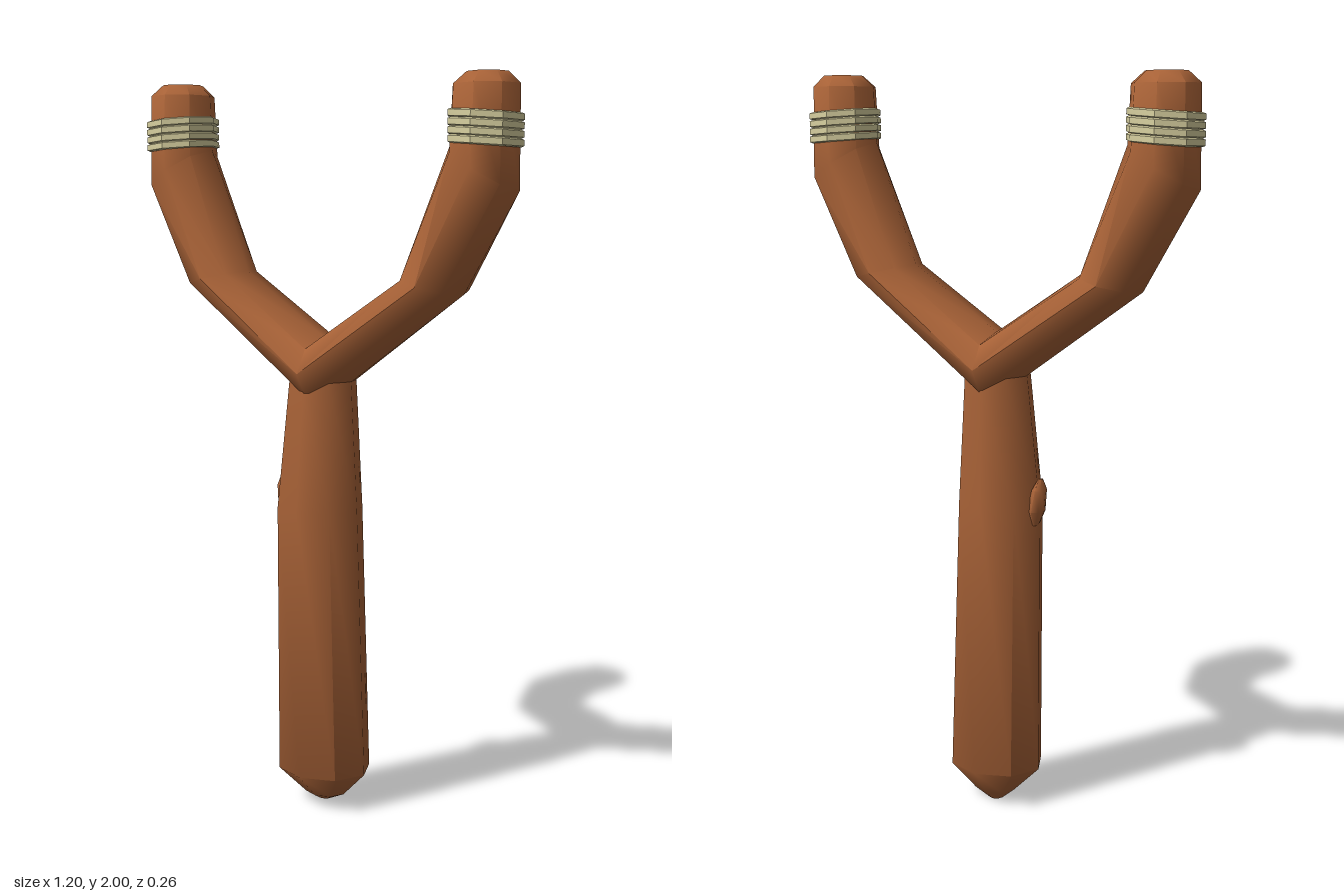
import * as THREE from 'three';
import { toCreasedNormals } from 'three/addons/utils/BufferGeometryUtils.js';

const V = (x, y, z = 0) => new THREE.Vector3(x, y, z);
const SIDES = 8;

// Skin through elliptical rings { c: centre, a, b: half-axis vectors }, capped at both ends
function loft(rings, crease = 1) {
  const pos = [], idx = [];
  const add = p => pos.push(p.x, p.y, p.z);
  for (const { c, a, b } of rings) {
    for (let j = 0; j < SIDES; j++) {
      const t = (j / SIDES) * Math.PI * 2;
      add(c.clone().addScaledVector(a, Math.cos(t)).addScaledVector(b, Math.sin(t)));
    }
  }
  const last = (rings.length - 1) * SIDES, first = rings.length * SIDES;
  add(rings[0].c);
  add(rings[rings.length - 1].c);
  for (let j = 0; j < SIDES; j++) {
    const k = (j + 1) % SIDES;
    for (let i = 0; i < last; i += SIDES) {
      idx.push(i + j, i + k, i + SIDES + j, i + k, i + SIDES + k, i + SIDES + j);
    }
    idx.push(first, k, j, first + 1, last + j, last + k);
  }
  const g = new THREE.BufferGeometry();
  g.setAttribute('position', new THREE.Float32BufferAttribute(pos, 3));
  g.setIndex(idx);
  return toCreasedNormals(g, crease);
}

// Horizontal ring from its extents
const level = (y, x0, x1, z0, z1) => ({
  c: V((x0 + x1) / 2, y, (z0 + z1) / 2),
  a: V((x1 - x0) / 2, 0), b: V(0, 0, (z0 - z1) / 2),
});

// Fork ring between an outer and an inner point
const section = (s, [ox, oy], [ix, iy], z0, z1, shear) => ({
  c: V(s * (ox + ix) / 2, (oy + iy) / 2, (z0 + z1) / 2),
  a: V(s * (ix - ox) / 2, (iy - oy) / 2), b: V(shear, 0, (z1 - z0) / 2),
});

export function createModel() {
  const group = new THREE.Group();
  const wood = new THREE.MeshStandardMaterial({ color: 0xa86237 });
  wood.name = 'brown wood';
  const cord = new THREE.MeshStandardMaterial({ color: 0xd8d0a0 });
  cord.name = 'pale cord';
  const add = (geo, mat, name) => {
    const m = new THREE.Mesh(geo, mat);
    m.name = name;
    group.add(m);
    return m;
  };

  // Handle with a blunt, whittled foot
  add(loft([
    level(0.0, -0.04, 0.0, -0.05, -0.01),
    level(0.025, -0.07, 0.05, -0.07, 0.035),
    level(0.1, -0.145, 0.125, -0.13, 0.11),
    level(0.85, -0.135, 0.11, -0.105, 0.12),
    level(1.2, -0.095, 0.09, -0.085, 0.1),
    level(1.26, -0.085, 0.08, -0.08, 0.09),
  ]), wood, 'handle');

  // Fork: one limb running from tip to tip
  const arm = s => [
    section(s, [0.55, 2.0], [0.43, 2.0], -0.075, 0.075, 0.02),
    section(s, [0.585, 1.97], [0.392, 1.97], -0.112, 0.116, 0.03),
    section(s, [0.588, 1.71], [0.385, 1.82], -0.118, 0.124, 0.03),
    section(s, [0.435, 1.45], [0.26, 1.49], -0.11, 0.12, 0.01),
  ];
  add(loft([
    ...arm(-1),
    section(1, [0, 1.14], [0, 1.32], -0.122, 0.132, 0),
    ...arm(1).reverse(),
  ]), wood, 'fork');

  // Cord wound around each arm, ridged turn by turn
  for (const s of [-1, 1]) {
    const rings = [], turns = 4, pitch = 0.021;
    const ring = (y, grow) => rings.push({
      c: V(s * 0.489, y, 0.003),
      a: V(0.1 + grow, -s * 0.007), b: V(-0.03, 0, -0.119 - grow),
    });
    for (let i = 0; i < turns; i++) {
      const y = 1.822 + i * pitch;
      ring(y, 0.001);
      ring(y + 0.003, 0.009);
      ring(y + pitch - 0.003, 0.009);
    }
    ring(1.822 + turns * pitch, 0.001);
    add(loft(rings, 0.9), cord, s > 0 ? 'leftCord' : 'rightCord');
  }

  // Broken twig on the side of the handle
  add(loft([
    level(0.8, -0.135, -0.115, -0.015, 0.015),
    level(0.84, -0.152, -0.105, -0.03, 0.03),
    level(0.9, -0.157, -0.118, -0.025, 0.025),
    level(0.93, -0.147, -0.135, -0.008, 0.008),
  ]), wood, 'twig');

  return group;
}
